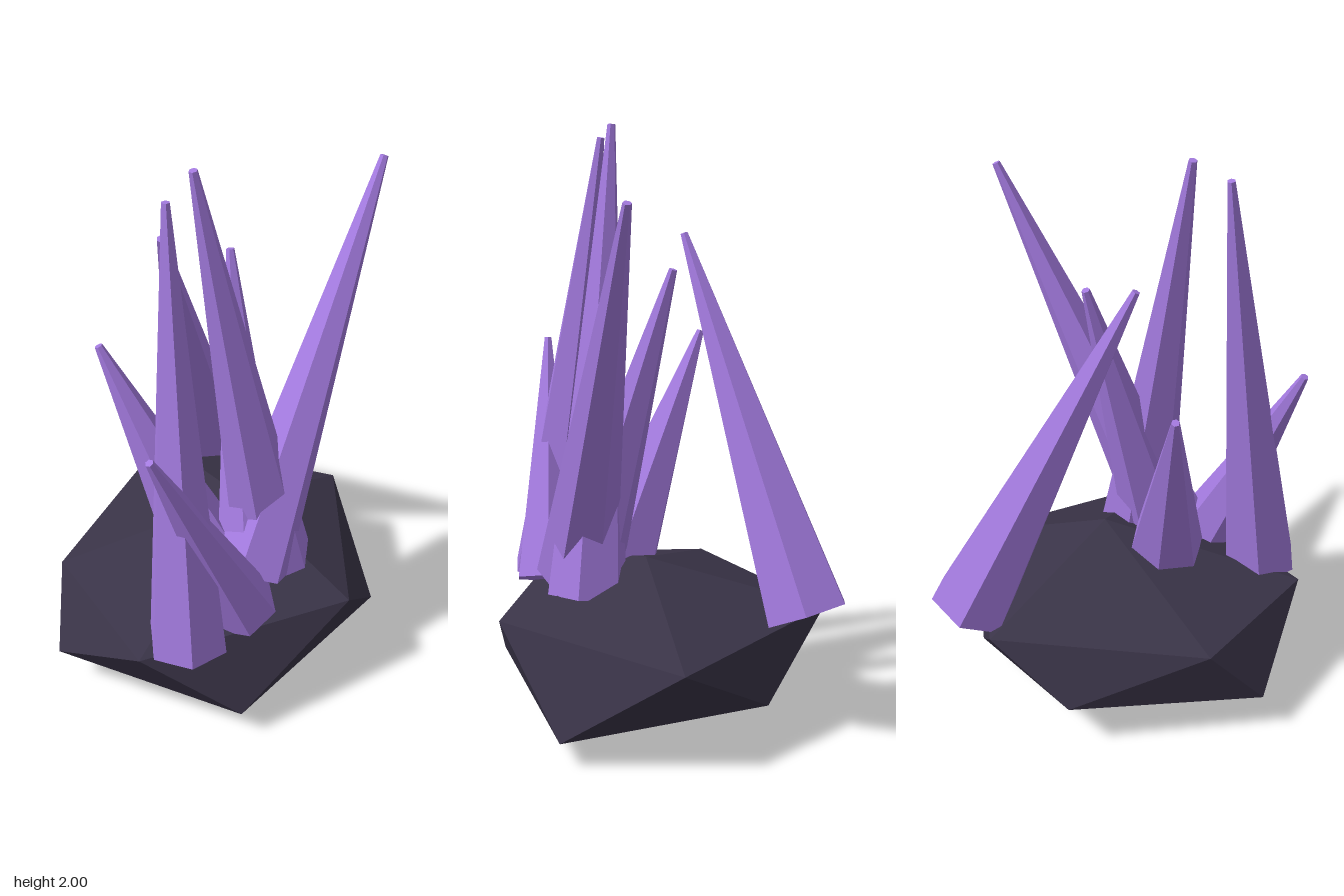
import * as THREE from 'three';

const crystalMat = new THREE.MeshStandardMaterial({ color: 0xa47be0, flatShading: true });
const rockMat = new THREE.MeshStandardMaterial({ color: 0x3a3448, flatShading: true });

// Six-sided spike running from base centre to tip
function crystal(name, base, tip, radius, spin) {
  const a = new THREE.Vector3(...base), b = new THREE.Vector3(...tip);
  const axis = b.clone().sub(a);
  const geo = new THREE.CylinderGeometry(0.014, radius, axis.length(), 6);
  geo.rotateY(THREE.MathUtils.degToRad(spin));
  const mesh = new THREE.Mesh(geo, crystalMat);
  mesh.name = name;
  mesh.position.copy(a).add(b).multiplyScalar(0.5);
  mesh.quaternion.setFromUnitVectors(new THREE.Vector3(0, 1, 0), axis.normalize());
  return mesh;
}

// Squashed twenty-sided boulder: top point, two staggered rings, bottom point
function rock() {
  const top = [0.1, 0.57, 0.08], bottom = [-0.05, 0, 0.07];
  const upper = [[0.62, 0.35, 0], [0.19, 0.39, 0.58], [-0.55, 0.38, 0.37], [-0.5, 0.39, -0.18], [0.18, 0.4, -0.52]];
  const lower = [[0.49, 0.08, 0.39], [-0.27, 0.11, 0.57], [-0.63, 0.15, -0.02], [-0.11, 0.18, -0.47], [0.39, 0.14, -0.3]];
  const pos = [];
  for (let i = 0; i < 5; i++) {
    const j = (i + 1) % 5;
    pos.push(top, upper[j], upper[i]);
    pos.push(upper[i], upper[j], lower[i]);
    pos.push(upper[j], lower[j], lower[i]);
    pos.push(bottom, lower[i], lower[j]);
  }
  const geo = new THREE.BufferGeometry();
  geo.setAttribute('position', new THREE.Float32BufferAttribute(pos.flat(), 3));
  geo.computeVertexNormals();
  const mesh = new THREE.Mesh(geo, rockMat);
  mesh.name = 'rockBase';
  return mesh;
}

export function createModel() {
  const model = new THREE.Group();
  model.name = 'crystalCluster';
  model.add(rock());

  // Base centre, tip, base radius, spin in degrees
  const spikes = [
    ['tallLeftCrystal', [-0.37, 0.38, 0.4], [-0.29, 1.95, 0.2], 0.14, 30],
    ['tallCentreCrystal', [0.09, 0.44, 0.28], [-0.17, 2.0, 0.17], 0.14, 15],
    ['rightLeaningCrystal', [-0.03, 0.48, 0.31], [0.59, 1.81, 0.17], 0.14, 0],
    ['backCrystal', [0.325, 0.43, -0.435], [-0.12, 1.64, -0.07], 0.15, 21],
    ['innerCrystal', [0, 0.46, 0.29], [0.11, 1.55, -0.01], 0.135, 10],
    ['leftLeaningCrystal', [-0.14, 0.42, 0.41], [-0.5, 1.22, 0.39], 0.12, 30],
    ['shortBackCrystal', [-0.11, 0.48, 0.16], [-0.32, 1.27, -0.15], 0.14, 20],
  ];
  for (const s of spikes) model.add(crystal(...s));
  return model;
}
